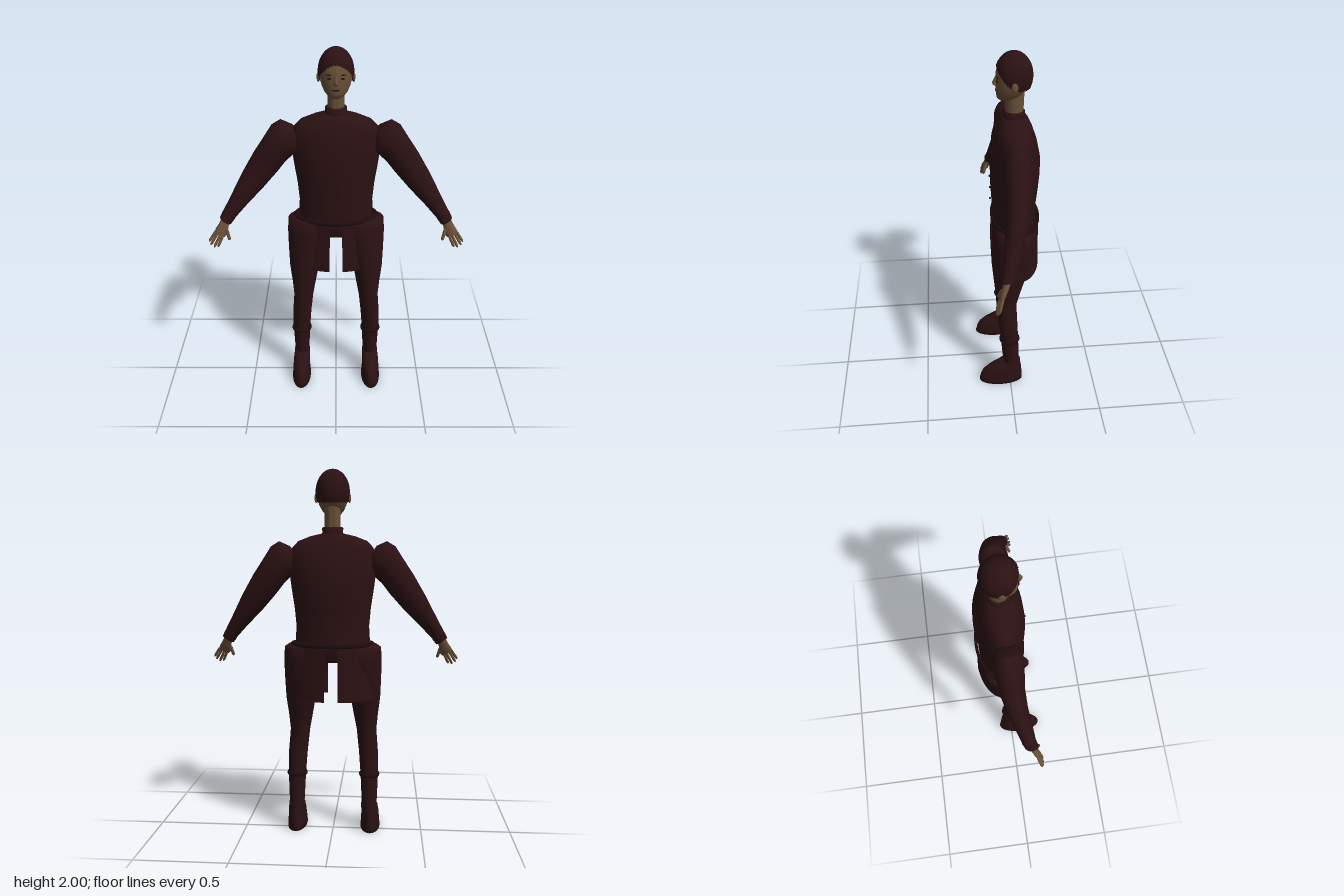
import * as THREE from 'three';
import { toCreasedNormals } from 'three/addons/utils/BufferGeometryUtils.js';

const mat = (name, color, side = THREE.FrontSide) => {
  const m = new THREE.MeshStandardMaterial({ color, side });
  m.name = name;
  return m;
};

// Skin of ellipses from top to bottom; section = [outerX, outerY, innerX, innerY, centreZ, radiusZ]
function loft(sections, sides = 28) {
  const pos = [], idx = [];
  const n = sections.length;
  for (const [ox, oy, ix, iy, cz, rz] of sections) {
    for (let i = 0; i < sides; i++) {
      const a = (i / sides) * Math.PI * 2, c = Math.cos(a) / 2;
      pos.push((ox + ix) / 2 + (ox - ix) * c, (oy + iy) / 2 + (oy - iy) * c, cz + rz * Math.sin(a));
    }
  }
  for (const k of [0, n - 1]) {
    const [ox, oy, ix, iy, cz] = sections[k];
    pos.push((ox + ix) / 2, (oy + iy) / 2, cz);
  }
  const top = n * sides, bottom = top + 1, last = (n - 1) * sides;
  for (let i = 0; i < sides; i++) {
    const j = (i + 1) % sides;
    for (let k = 0; k < n - 1; k++) {
      const a = k * sides + i, b = k * sides + j;
      idx.push(a, b, a + sides, b, b + sides, a + sides);
    }
    idx.push(top, j, i, bottom, last + i, last + j);
  }
  const g = new THREE.BufferGeometry();
  g.setAttribute('position', new THREE.Float32BufferAttribute(pos, 3));
  g.setIndex(idx);
  return toCreasedNormals(g, 0.9);
}

// Level section: height, left and right x, front and back z
const level = (y, x1, x0, zf, zb) => [x1, y, x0, y, (zf + zb) / 2, (zf - zb) / 2];
const centred = ([y, w, zf, zb]) => level(y, w, -w, zf, zb);

export function createModel() {
  const model = new THREE.Group();
  const cloth = mat('dark maroon cloth', 0x2b1113);
  const flap = mat('dark maroon skirt', 0x2b1113, THREE.DoubleSide);
  const trim = mat('dark trim', 0x1f0c0d);
  const skin = mat('skin', 0x6a5038);

  const add = (parent, name, geometry, material, x = 0, y = 0, z = 0) => {
    const m = new THREE.Mesh(geometry, material);
    m.name = name;
    m.position.set(x, y, z);
    parent.add(m);
    return m;
  };
  const blob = (parent, name, material, p, s) =>
    add(parent, name, new THREE.SphereGeometry(1, 16, 12), material, ...p).scale.set(...s);
  const rod = (parent, name, material, p, q, r0, r1) => {
    const a = new THREE.Vector3(...p), b = new THREE.Vector3(...q), d = b.clone().sub(a);
    const m = add(parent, name, new THREE.CapsuleGeometry(1, 2, 4, 10), material);
    m.position.copy(a).add(b).multiplyScalar(0.5);
    m.scale.set(r0, d.length() / 4, r1);
    m.quaternion.setFromUnitVectors(new THREE.Vector3(0, 1, 0), d.normalize());
  };

  // Jacket, collar, belt and buttons
  add(model, 'jacket', loft([
    [1.665, 0.055, 0.015, -0.085], [1.65, 0.12, 0.03, -0.1], [1.625, 0.185, 0.05, -0.117],
    [1.59, 0.218, 0.066, -0.132], [1.53, 0.23, 0.08, -0.152], [1.45, 0.232, 0.088, -0.168],
    [1.37, 0.222, 0.09, -0.17], [1.27, 0.207, 0.089, -0.163], [1.17, 0.198, 0.084, -0.153],
    [1.06, 0.205, 0.082, -0.155],
  ].map(centred), 40), cloth);
  add(model, 'collar', loft([
    [1.697, 0.052, 0.015, -0.085], [1.692, 0.057, 0.02, -0.09], [1.67, 0.055, 0.018, -0.088],
    [1.655, 0.06, 0.022, -0.092], [1.635, 0.08, 0.03, -0.1],
  ].map(centred)), cloth);
  const belt = add(model, 'belt', new THREE.TorusGeometry(1, 0.065, 10, 48), trim, 0, 1.073, -0.041);
  belt.rotation.x = Math.PI / 2;
  belt.scale.set(0.216, 0.126, 0.2);
  for (const y of [1.18, 1.25, 1.32, 1.39]) blob(model, 'button', trim, [0, y, 0.092], [0.006, 0.006, 0.005]);

  // Hips
  add(model, 'hips', loft([
    [1.07, 0.21, 0.08, -0.155], [1.03, 0.22, 0.08, -0.155], [0.98, 0.19, 0.065, -0.13],
  ].map(centred), 36), cloth);

  // Neck and head
  add(model, 'neck', loft([
    [1.83, 0.05, 0.015, -0.09], [1.77, 0.043, 0.01, -0.085], [1.68, 0.043, 0.01, -0.082],
  ].map(centred)), skin);
  add(model, 'head', loft([
    [1.985, 0.025, -0.005, -0.06], [1.95, 0.064, 0.034, -0.1], [1.92, 0.078, 0.05, -0.112],
    [1.885, 0.083, 0.056, -0.117], [1.85, 0.081, 0.057, -0.113], [1.815, 0.073, 0.056, -0.098],
    [1.785, 0.058, 0.054, -0.07], [1.768, 0.042, 0.05, -0.04], [1.757, 0.022, 0.038, -0.01],
  ].map(centred), 32), skin);
  add(model, 'nose', loft([
    [1.878, 0.006, 0.058, 0.04], [1.848, 0.01, 0.073, 0.04], [1.836, 0.015, 0.07, 0.04], [1.83, 0.009, 0.06, 0.04],
  ].map(centred), 12), skin);
  blob(model, 'mouth', trim, [0, 1.806, 0.054], [0.021, 0.0035, 0.004]);

  // Hair: a dome whose lower edge rises to a peak above the face
  const hair = new THREE.SphereGeometry(1, 48, 20);
  const p = hair.attributes.position, v = new THREE.Vector3();
  for (let i = 0; i < p.count; i++) {
    v.fromBufferAttribute(p, i);
    const az = Math.atan2(v.x, v.z), f = Math.cos(az);
    const edge = f > 0 ? 2.08 - 0.9 * Math.pow(f, 1.3) : 2.08 - 0.06 * f;
    const polar = (Math.acos(THREE.MathUtils.clamp(v.y, -1, 1)) / Math.PI) * edge;
    const r = Math.sin(polar);
    p.setXYZ(i, 0.091 * r * Math.sin(az), 0.12 * Math.cos(polar), 0.094 * r * Math.cos(az));
  }
  hair.computeVertexNormals();
  add(model, 'hair', hair, flap, 0, 1.88, -0.033);

  for (const s of [1, -1]) {
    const side = new THREE.Group();
    side.name = s > 0 ? 'leftSide' : 'rightSide';
    side.scale.x = s;
    model.add(side);

    // Face details
    blob(side, 'ear', skin, [0.089, 1.85, -0.03], [0.008, 0.026, 0.016]);
    blob(side, 'eye', trim, [0.032, 1.864, 0.0495], [0.013, 0.0045, 0.004]);
    blob(side, 'eyebrow', trim, [0.034, 1.882, 0.0485], [0.018, 0.003, 0.004]);

    // Puffed sleeve and cuff
    add(side, 'sleeve', loft([
      [0.235, 1.6, 0.19, 1.53, -0.03, 0.045], [0.29, 1.624, 0.19, 1.455, -0.03, 0.07],
      [0.335, 1.597, 0.222, 1.44, -0.028, 0.074], [0.385, 1.52, 0.265, 1.4, -0.026, 0.07],
      [0.432, 1.45, 0.31, 1.342, -0.024, 0.064], [0.5, 1.335, 0.392, 1.25, -0.008, 0.055],
      [0.56, 1.222, 0.478, 1.165, 0.018, 0.045], [0.612, 1.127, 0.55, 1.088, 0.04, 0.036],
    ]), cloth);
    add(side, 'cuff', loft([
      [0.612, 1.13, 0.547, 1.088, 0.039, 0.038], [0.627, 1.1, 0.568, 1.062, 0.05, 0.036],
      [0.618, 1.092, 0.578, 1.066, 0.051, 0.026],
    ]), cloth);

    // Hand
    add(side, 'palm', loft([
      [0.615, 1.102, 0.575, 1.073, 0.048, 0.018], [0.632, 1.07, 0.585, 1.045, 0.062, 0.018],
      [0.653, 1.04, 0.59, 1.01, 0.075, 0.016], [0.658, 1.018, 0.606, 0.994, 0.083, 0.011],
    ], 16), skin);
    const fingers = [
      [[0.647, 1.035, 0.074], [0.691, 0.972, 0.098]], [[0.64, 1.022, 0.08], [0.682, 0.955, 0.104]],
      [[0.626, 1.014, 0.084], [0.664, 0.942, 0.108]], [[0.612, 1.01, 0.086], [0.643, 0.945, 0.108]],
    ];
    for (const [a, b] of fingers) rod(side, 'finger', skin, a, b, 0.0075, 0.0075);
    rod(side, 'thumb', skin, [0.595, 1.045, 0.075], [0.577, 0.98, 0.096], 0.009, 0.009);

    // Trouser leg
    add(side, 'trouserLeg', loft([
      level(1.072, 0.24, 0.02, 0.06, -0.12), level(1.055, 0.264, 0.005, 0.075, -0.14),
      level(0.98, 0.268, 0.02, 0.08, -0.14), level(0.88, 0.266, 0.06, 0.083, -0.115),
      level(0.77, 0.262, 0.097, 0.083, -0.088), level(0.67, 0.25, 0.115, 0.08, -0.06),
      level(0.58, 0.242, 0.132, 0.076, -0.037), level(0.46, 0.252, 0.145, 0.066, -0.042),
      level(0.33, 0.254, 0.155, 0.054, -0.048), level(0.13, 0.247, 0.165, 0.038, -0.054),
    ]), cloth);
    const band = add(side, 'bootBand', new THREE.TorusGeometry(1, 0.16, 8, 32), trim, 0.204, 0.325, 0.003);
    band.rotation.x = Math.PI / 2;
    band.scale.set(0.05, 0.051, 0.07);

    // Shoe and sole
    add(side, 'shoe', loft([
      level(0.155, 0.252, 0.16, 0.045, -0.06), level(0.13, 0.254, 0.16, 0.085, -0.062),
      level(0.105, 0.258, 0.16, 0.13, -0.066), level(0.075, 0.26, 0.16, 0.163, -0.069),
      level(0.04, 0.263, 0.157, 0.178, -0.071), level(0.014, 0.263, 0.157, 0.181, -0.071),
    ]), cloth);
    add(side, 'sole', loft([
      level(0.015, 0.265, 0.155, 0.184, -0.073), level(0, 0.265, 0.155, 0.184, -0.073),
    ]), trim);

    // Front and back skirt panels, open along the middle
    for (const [name, start, length] of [['frontSkirt', 0.153, 0.5], ['backSkirt', Math.PI / 2 + 0.12, Math.PI / 2 - 0.273]]) {
      const g = new THREE.CylinderGeometry(0.98, 1.02, 0.3, 20, 1, true, start, length);
      add(side, name, g, flap, 0, 0.92, -0.041).scale.set(0.23, 1, 0.13);
    }
  }
  return model;
}
